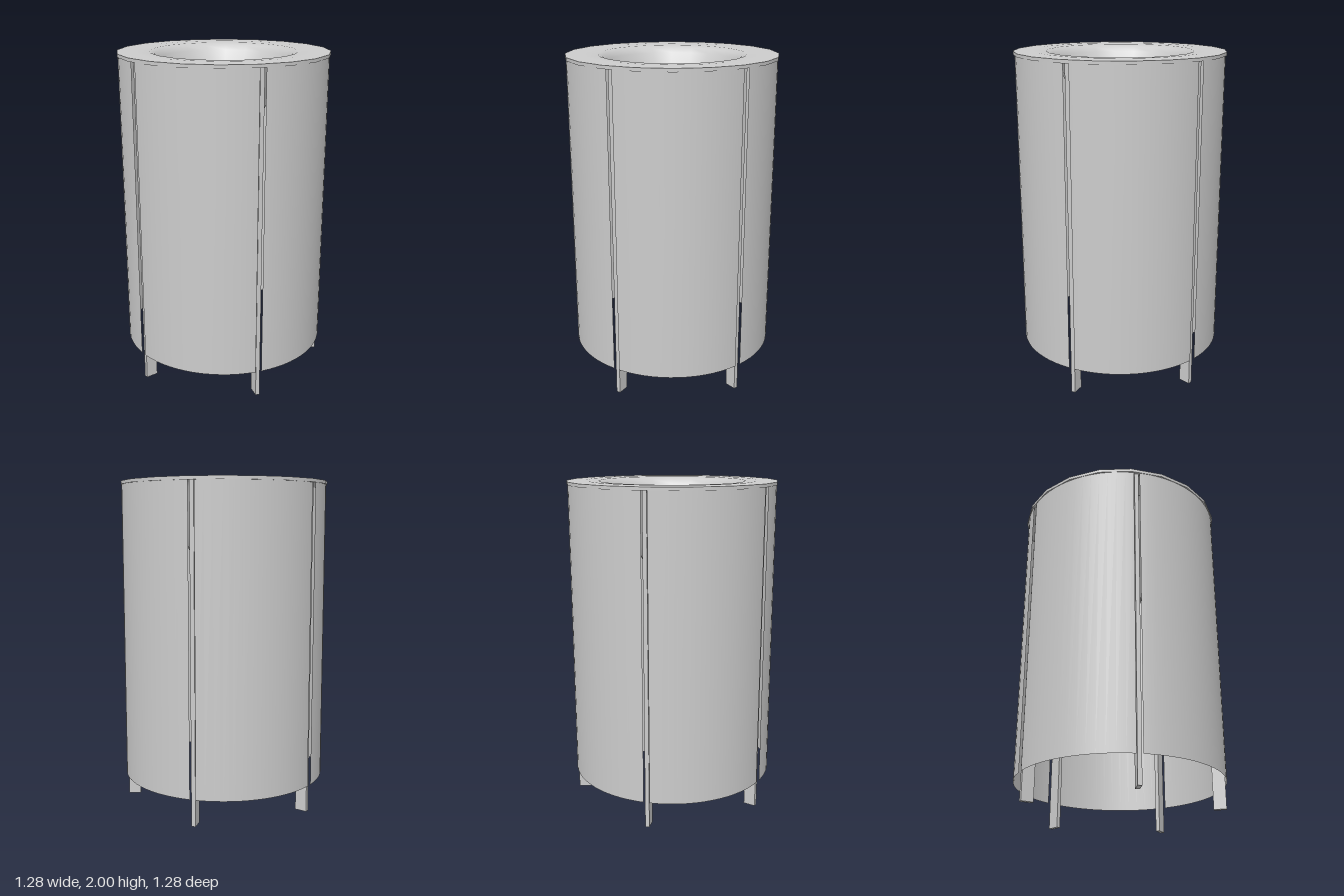
import * as THREE from 'three';

const SIDES = 20, LEGS = 5, TWIST = -0.058;
const R = 0.63, TOP = 1.98, BOTTOM = 0.165;

export function createModel() {
  const group = new THREE.Group();
  const mat = new THREE.MeshStandardMaterial({ color: 0xcccccc, side: THREE.DoubleSide });
  const add = (name, geometry, parent = group) => {
    const mesh = new THREE.Mesh(geometry, mat);
    mesh.name = name;
    parent.add(mesh);
    return mesh;
  };
  const lathe = (pts) => new THREE.LatheGeometry(
    pts.map(([r, y]) => new THREE.Vector2(r, y)), SIDES, TWIST);

  // Five legs set in the slots between five curved panels
  const step = Math.PI * 2 / LEGS;
  const slot = 0.018 / R;
  for (let i = 0; i < LEGS; i++) {
    const angle = Math.PI + i * step;
    const leg = add('leg', new THREE.BoxGeometry(0.025, TOP, 0.075));
    leg.position.set(Math.sin(angle) * 0.582, TOP / 2, Math.cos(angle) * 0.582);
    leg.rotation.y = angle;

    const panel = add('sidePanel', new THREE.CylinderGeometry(
      R, R, TOP - BOTTOM, 14, 1, true, angle + slot, step - 2 * slot));
    panel.position.y = (TOP + BOTTOM) / 2;
  }

  // Thin faceted lid with a funnel sinking from its middle
  const lid = new THREE.Group();
  lid.name = 'lid';
  group.add(lid);
  add('lidUnderside', lathe([[0.42, 1.978], [0.64, 1.978]]), lid);
  add('lidEdge', lathe([[0.64, 1.978], [0.64, 1.998]]), lid);
  add('lidTopAndFunnel', lathe([
    [0.64, 1.998], [0.52, 2], [0.445, 1.997], [0.415, 1.983], [0.395, 1.955],
    [0.375, 1.91], [0.26, 1.67], [0.14, 1.42],
  ]), lid);

  // Flat floor of the funnel
  const floor = add('funnelFloor', new THREE.CircleGeometry(0.141, SIDES * 2), lid);
  floor.rotation.x = -Math.PI / 2;
  floor.position.y = 1.42;

  return group;
}
